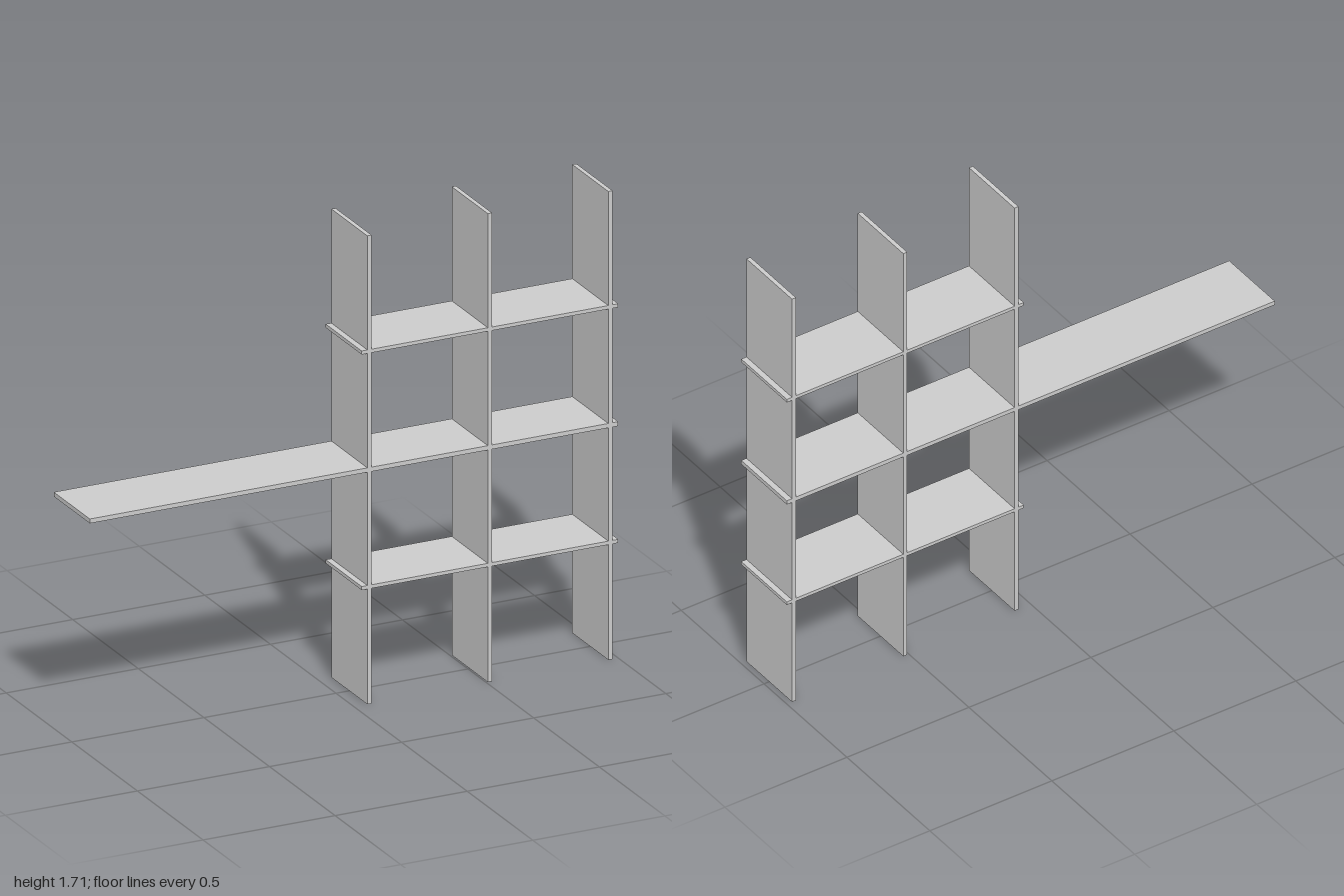
import * as THREE from 'three';

const DEPTH = 0.275, T = 0.016;
const UPRIGHTS = [0.0585, 0.5145, 0.9705];
const SHELVES = [
  { name: 'lowerShelf', y: 0.427, from: 0.029, t: 0.013 },
  { name: 'longMiddleShelf', y: 0.855, from: -1, t: T },
  { name: 'upperShelf', y: 1.287, from: 0.029, t: 0.013 },
];
const HEIGHT = 1.71;

// Board outline (length along x, depth along y) with half-depth slots cut into its +y edge
function slottedBoard(start, end, slots, thickness) {
  const h = DEPTH / 2;
  const s = new THREE.Shape();
  s.moveTo(start, -h);
  s.lineTo(end, -h);
  s.lineTo(end, h);
  for (const { at, width } of [...slots].reverse()) {
    s.lineTo(at + width / 2, h);
    s.lineTo(at + width / 2, 0);
    s.lineTo(at - width / 2, 0);
    s.lineTo(at - width / 2, h);
  }
  s.lineTo(start, h);
  s.closePath();
  return new THREE.ExtrudeGeometry(s, { depth: thickness, bevelEnabled: false })
    .translate(0, 0, -thickness / 2);
}

export function createModel() {
  const group = new THREE.Group();
  const material = new THREE.MeshStandardMaterial({ color: 0xcccccc });

  const add = (name, geometry, x, y) => {
    const mesh = new THREE.Mesh(geometry, material);
    mesh.name = name;
    mesh.position.set(x, y, 0);
    group.add(mesh);
  };

  // Uprights, slotted from the front to receive the shelves
  const upright = slottedBoard(0, HEIGHT, SHELVES.map((s) => ({ at: s.y, width: s.t })), T);
  // length to +y, slotted edge to +z, thickness along x
  upright.applyMatrix4(new THREE.Matrix4().makeBasis(
    new THREE.Vector3(0, 1, 0), new THREE.Vector3(0, 0, 1), new THREE.Vector3(1, 0, 0)));
  UPRIGHTS.forEach((x, i) => add(`upright${i + 1}`, upright, x, 0));

  // Shelves, slotted from the back; the middle one reaches far out to one side
  for (const { name, y, from, t } of SHELVES) {
    const shelf = slottedBoard(from, 1, UPRIGHTS.map((at) => ({ at, width: T })), t);
    shelf.rotateX(-Math.PI / 2);
    add(name, shelf, 0, y);
  }
  return group;
}
